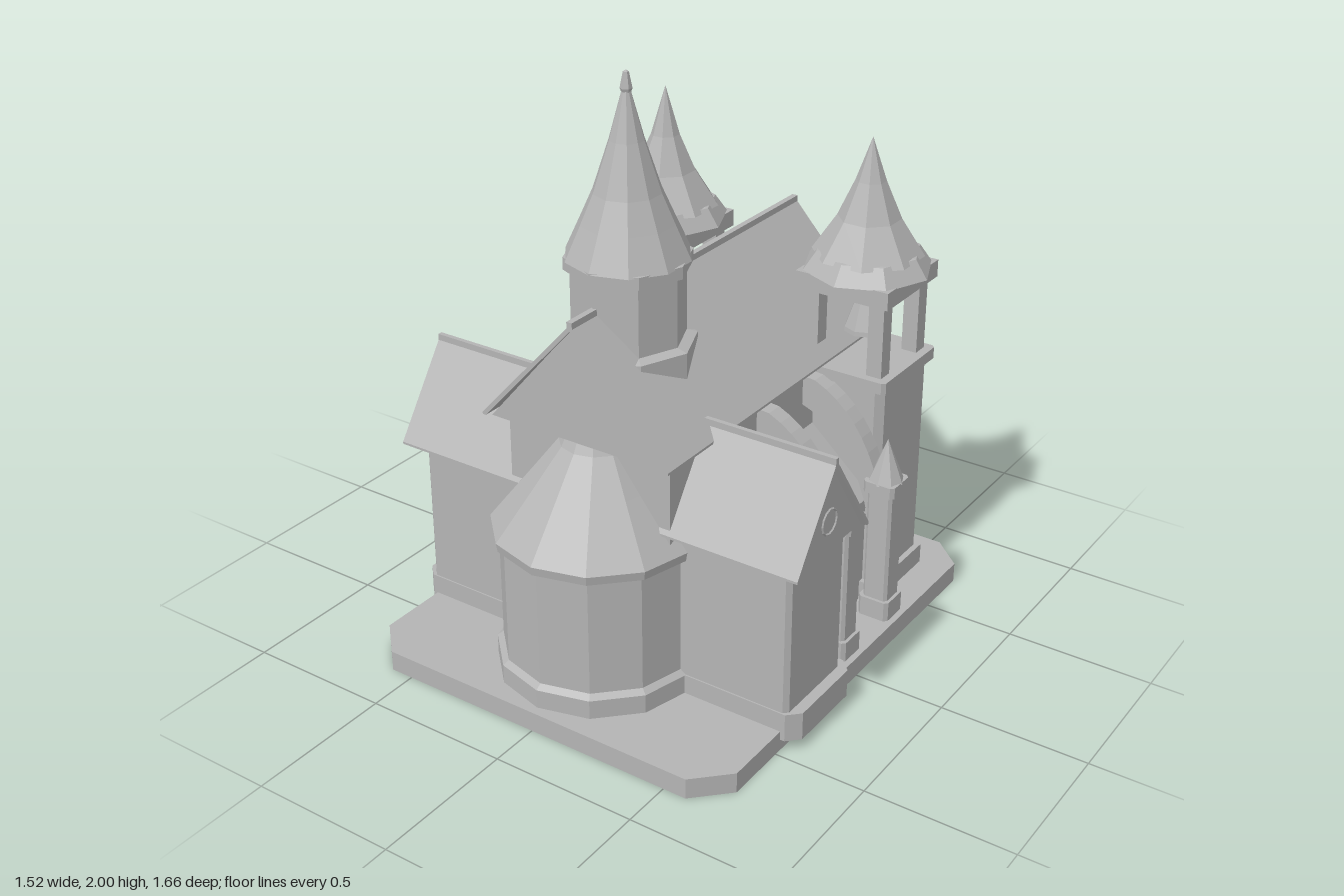
import * as THREE from 'three';

const stone = new THREE.MeshStandardMaterial({ color: 0xb4b4b4 });
stone.name = 'stone';

export function createModel() {
  const root = new THREE.Group();

  // faceted mesh with hard edges
  function add(name, geo, x = 0, y = 0, z = 0, parent = root) {
    const g = geo.index ? geo.toNonIndexed() : geo;
    g.computeVertexNormals();
    const m = new THREE.Mesh(g, stone);
    m.name = name;
    m.position.set(x, y, z);
    parent.add(m);
    return m;
  }
  // box given by its limits
  const box = (name, x0, x1, y0, y1, z0, z1, parent = root) =>
    add(name, new THREE.BoxGeometry(x1 - x0, y1 - y0, z1 - z0),
      (x0 + x1) / 2, (y0 + y1) / 2, (z0 + z1) / 2, parent);
  // polygonal solid turned about a vertical axis
  const turned = (name, pts, sides, x, z, start = 0, parent = root) =>
    add(name, new THREE.LatheGeometry(pts.map(p => new THREE.Vector2(...p)), sides, start), x, 0, z, parent);
  const shapeOf = pts => new THREE.Shape(pts.map(p => new THREE.Vector2(...p)));
  const extrude = (shape, depth, segs = 8) =>
    new THREE.ExtrudeGeometry(shape, { depth, bevelEnabled: false, curveSegments: segs });
  // upright block with cut corners, c wide
  const block = (name, cx, cz, hx, hz, c, y0, y1, parent = root) =>
    add(name, extrude(shapeOf([[c - hx, -hz], [hx - c, -hz], [hx, c - hz], [hx, hz - c],
      [hx - c, hz], [c - hx, hz], [-hx, hz - c], [-hx, c - hz]]), y1 - y0).rotateX(-Math.PI / 2), cx, y0, cz, parent);
  function archShape(w, y0, spring) {
    const s = new THREE.Shape();
    s.moveTo(-w, y0);
    s.lineTo(w, y0);
    s.lineTo(w, spring);
    s.absarc(0, spring, w, 0, Math.PI, false);
    return s;
  }
  function archFrame(w, t, y0, spring, depth) {
    const s = archShape(w, y0, spring);
    s.holes.push(archShape(w - t, y0 + t, spring));
    return extrude(s, depth);
  }
  // roof skin over a gable
  const chevron = (w, eave, ridge, t) => shapeOf([[-w, eave], [-w, eave - t * 0.4],
    [-w + t * 0.6, eave - t * 0.4], [0, ridge - t], [w - t * 0.6, eave - t * 0.4], [w, eave - t * 0.4], [w, eave], [0, ridge]]);

  // base slab, hollow underneath, with cut corners and a notch for the steps
  const outline = [[-0.58, -0.83], [0.58, -0.83], [0.69, -0.72], [0.69, 0.69], [0.58, 0.79],
    [0.29, 0.79], [0.24, 0.69], [-0.24, 0.69], [-0.29, 0.79], [-0.58, 0.79], [-0.69, 0.69], [-0.69, -0.72]];
  add('baseTop', extrude(shapeOf(outline), 0.004).rotateX(-Math.PI / 2), 0, 0.066);
  const rim = shapeOf(outline);
  rim.holes.push(shapeOf(outline.map(([x, y]) => [x * 0.995, y * 0.995])));
  add('baseRim', extrude(rim, 0.067).rotateX(-Math.PI / 2));
  [[0.245, 0.025, -0.83], [0.225, 0.055, -0.765], [0.215, 0.08, -0.715]].forEach(([w, h, z]) =>
    box('entranceStep', -w, w, 0, h, z, -0.64));

  // nave
  box('naveWalls', -0.305, 0.305, 0.07, 0.91, -0.637, 0.51);
  add('naveGable', extrude(shapeOf([[-0.325, 0.905], [0.325, 0.905], [0, 1.285]]), 1.24), 0, 0, -0.67);
  add('naveRoof', extrude(chevron(0.35, 0.915, 1.3, 0.02), 1.27), 0, 0, -0.685);
  box('ridgeBeam', -0.01, 0.01, 1.285, 1.31, -0.685, 0.585);

  // rounded apse
  turned('apsePlinth', [[0, 0.04], [0.34, 0.04], [0.34, 0.135], [0.32, 0.15]], 12, 0, 0.46);
  turned('apseWall', [[0.32, 0.07], [0.32, 0.56]], 12, 0, 0.46);
  turned('apseRoof', [[0.31, 0.55], [0.34, 0.555], [0.345, 0.585], [0.21, 0.755], [0.12, 0.87], [0.095, 0.92], [0, 0.92]], 12, 0, 0.46);
  for (const s of [-1, 1]) {
    const win = add('apseWindow', archFrame(0.05, 0.008, 0.23, 0.43, 0.006), s * 0.08, 0, 0.748);
    win.rotation.y = s * Math.PI / 12;
  }

  // crossing tower
  turned('drumCollar', [[0, 1.0], [0.215, 1.0], [0.215, 1.15], [0.18, 1.16]], 8, 0, 0.287);
  turned('drum', [[0.18, 1.1], [0.18, 1.4]], 8, 0, 0.287);
  turned('spireRim', [[0, 1.39], [0.2, 1.39], [0.2, 1.43], [0, 1.45]], 8, 0, 0.287);
  turned('crossingSpire', [[0.2, 1.425], [0.15, 1.535], [0.108, 1.63], [0.055, 1.79], [0.012, 1.945]], 10, 0, 0.287);
  turned('finial', [[0.01, 1.92], [0.019, 1.945], [0.009, 1.995], [0, 2]], 6, 0, 0.287);

  // transept plinth and walls, crossing the nave
  block('transeptPlinth', 0, 0.3, 0.745, 0.176, 0.04, 0.04, 0.137);
  block('transeptWalls', 0, 0.31, 0.708, 0.161, 0.015, 0.1, 0.66);

  // entrance: door leaf, wedge stones around the arch, jamb stones
  add('door', extrude(archShape(0.125, 0.07, 0.42), 0.012), 0, 0, -0.648);
  box('doorSeam', -0.003, 0.003, 0.075, 0.54, -0.652, -0.645);
  for (let i = 0; i < 9; i++) {
    const a0 = i * Math.PI / 9 + 0.012, a1 = (i + 1) * Math.PI / 9 - 0.012;
    const r0 = 0.12, r1 = i % 2 ? 0.168 : 0.182;
    const p = (r, a) => [r * Math.cos(a), 0.42 + r * Math.sin(a)];
    add('archStone', extrude(shapeOf([p(r0, a0), p(r1, a0), p(r1, a1), p(r0, a1)]), i % 2 ? 0.045 : 0.055),
      0, 0, i % 2 ? -0.685 : -0.695);
  }

  for (const s of [-1, 1]) {
    for (let i = 0; i < 5; i++) {
      const w = i % 2 ? 0.165 : 0.182, y = 0.07 + i * 0.07;
      box('jambStone', Math.min(s * 0.12, s * w), Math.max(s * 0.12, s * w), y, y + 0.066, i % 2 ? -0.685 : -0.695, -0.63);
    }
    // standing lamps beside the steps
    turned('lamp', [[0, 0.06], [0.036, 0.06], [0.036, 0.085], [0.014, 0.1], [0.012, 0.17], [0.03, 0.185],
      [0.024, 0.19], [0.034, 0.24], [0.042, 0.243], [0.012, 0.275], [0.006, 0.295], [0, 0.295]], 6, s * 0.277, -0.69);

    // transept gable and roof
    const arm = new THREE.Group();
    arm.name = 'transept';
    arm.rotation.y = s * Math.PI / 2;
    arm.position.set(0, 0, 0.31);
    root.add(arm);
    add('transeptGable', extrude(shapeOf([[-0.2, 0.65], [0.2, 0.65], [0, 0.945]]), 0.49), 0, 0, 0.25, arm);
    add('transeptRoof', extrude(chevron(0.21, 0.655, 0.96, 0.02), 0.51), 0, 0, 0.25, arm);
    box('transeptRidge', -0.008, 0.008, 0.945, 0.97, 0.2, 0.76, arm);
    add('roseWindow', new THREE.TorusGeometry(0.042, 0.004, 4, 12), 0, 0.75, 0.74, arm);

    // side aisle with lean-to roof
    const aisle = [[0.28, 0.07], [0.52, 0.07], [0.52, 0.44], [0.535, 0.44], [0.535, 0.47], [0.29, 0.69], [0.28, 0.69]];
    const mir = s > 0 ? aisle : aisle.map(([x, y]) => [-x, y]);
    add('aisle', extrude(shapeOf(mir), 0.52), 0, 0, -0.35);

    // piers and flying arches
    for (const z of [-0.003, -0.285]) {
      const px = s * 0.613;
      block('pierFoot', px, z, 0.056, 0.056, 0.012, 0.04, 0.14);
      block('pier', px, z, 0.045, 0.045, 0.01, 0.1, 0.55);
      block('pierCap', px, z, 0.057, 0.057, 0.012, 0.54, 0.58);
      turned('pierSpire', [[0, 0.575], [0.06, 0.575], [0.038, 0.63], [0.018, 0.68], [0, 0.725]], 8, px, z);
      const arch = new THREE.Shape();
      arch.moveTo(s * 0.29, 0.88);
      arch.lineTo(s * 0.35, 0.875);
      arch.quadraticCurveTo(s * 0.53, 0.8, s * 0.6, 0.56);
      arch.lineTo(s * 0.6, 0.42);
      arch.lineTo(s * 0.57, 0.42);
      arch.quadraticCurveTo(s * 0.5, 0.72, s * 0.29, 0.78);
      add('flyingArch', extrude(arch, 0.06), 0, 0, z - 0.03);
    }

    // bell tower
    const t = new THREE.Group();
    t.name = 'bellTower';
    t.position.set(s * 0.4, 0, -0.485);
    root.add(t);
    block('towerPlinth', 0, 0, 0.18, 0.18, 0.028, 0.04, 0.14, t);
    block('towerBody', 0, 0, 0.16, 0.16, 0.025, 0.1, 0.87, t);
    block('towerCornice', 0, 0, 0.177, 0.177, 0.012, 0.86, 0.9, t);
    for (const i of [-1, 1]) for (const j of [-1, 1])
      add('belfryPost', new THREE.BoxGeometry(0.055, 0.27, 0.055), i * 0.12, 1.025, j * 0.12, t);
    // lintel ring
    for (const i of [-1, 1]) {
      box('lintel', -0.17, 0.17, 1.155, 1.215, i * 0.14 - 0.03, i * 0.14 + 0.03, t);
      box('lintel', i * 0.14 - 0.03, i * 0.14 + 0.03, 1.155, 1.215, -0.11, 0.11, t);
    }
    // bell
    box('bellBeam', -0.13, 0.13, 1.155, 1.18, -0.015, 0.015, t);
    turned('bell', [[0, 1], [0.06, 0.995], [0.07, 0.985], [0.068, 1.0], [0.035, 1.095], [0.016, 1.105], [0.016, 1.16]], 8, 0, 0, 0, t);
    turned('clapper', [[0, 0.965], [0.012, 0.97], [0.012, 1.0]], 6, 0, 0, 0, t);
    // eaves skirt and spire
    const top = s > 0 ? 1.655 : 1.68;
    turned('spireSkirt', [[0, 1.215], [0.218, 1.213], [0.175, 1.275], [0, 1.3]], 8, 0, 0, 0, t);
    turned('bellSpire', [[0.185, 1.262], [0.105, 1.385], [0.05, 1.51], [0, top]], 8, 0, 0, Math.PI / 8, t);

    // facade strips, ledges and diamond openings
    box('pilasterStrip', s * 0.25 - 0.012, s * 0.25 + 0.012, 0.14, 0.86, -0.648, -0.63);
    for (const x of [0.19, 0.34, 0.46]) {
      box('ledge', s * x - 0.04, s * x + 0.04, 0.825, 0.84, -0.658, -0.63);
      add('diamondOpening', extrude(shapeOf([[-0.014, 0], [0, -0.032], [0.014, 0], [0, 0.032]]), 0.009), s * x, 0.76, -0.648);
    }
  }
  return root;
}
